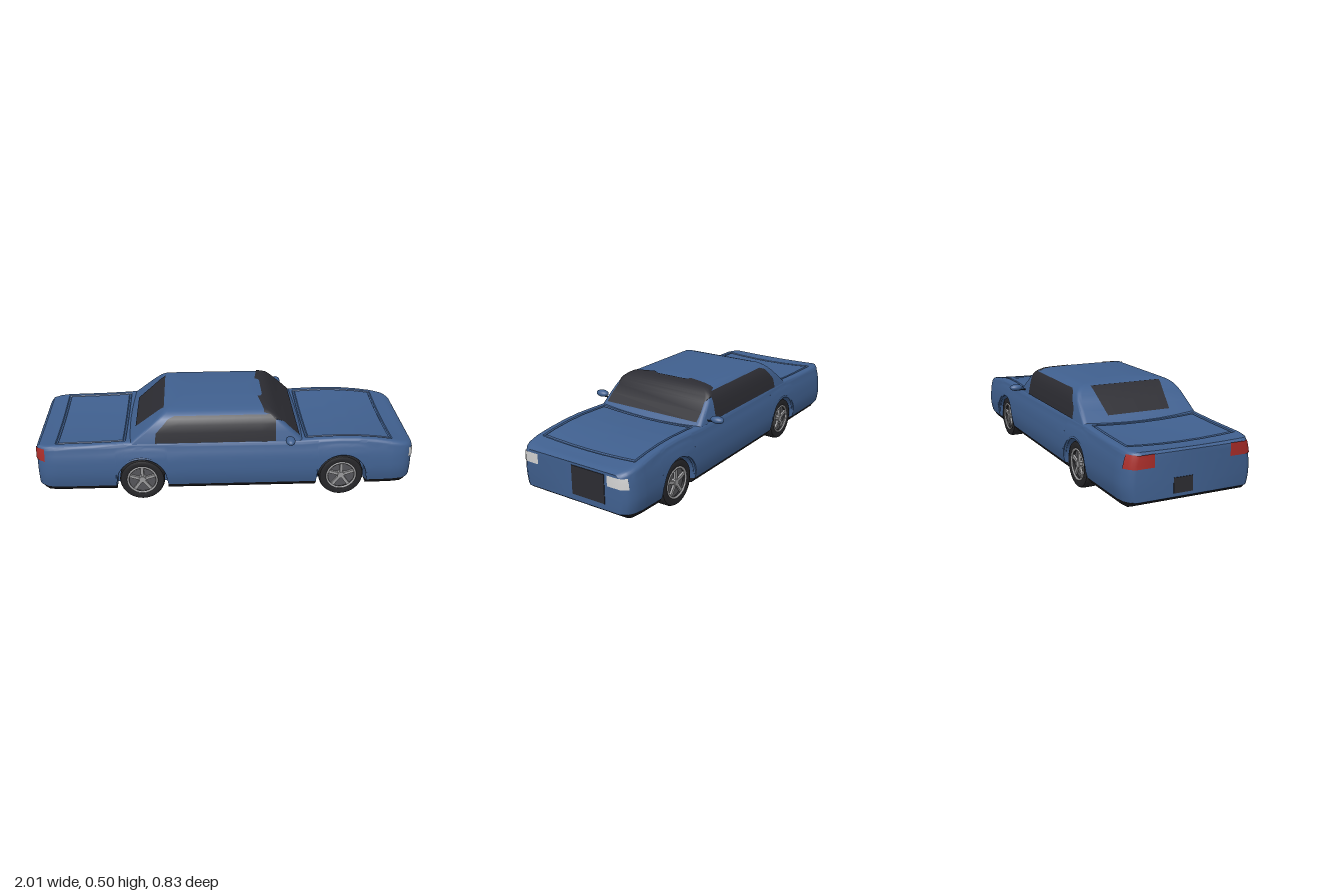
import * as THREE from 'three';
import { toCreasedNormals } from 'three/addons/utils/BufferGeometryUtils.js';

const material = (name, color) => {
  const m = new THREE.MeshStandardMaterial({ color });
  m.name = name;
  return m;
};

// Piecewise-linear lookup in a short list of [input, output] pairs
function lerpTable(t, x) {
  if (x <= t[0][0]) return t[0][1];
  for (let i = 1; i < t.length; i++) {
    const [a, va] = t[i - 1], [b, vb] = t[i];
    if (x <= b) return va + (vb - va) * (x - a) / (b - a);
  }
  return t[t.length - 1][1];
}

// Surface from nu x nv points; the outside is on the side of du x dv
function grid(nu, nv, point, flip = false) {
  const pts = [], out = [];
  for (let u = 0; u < nu; u++) for (let v = 0; v < nv; v++) pts.push(new THREE.Vector3(...point(u, v)));
  const tri = (a, b, c) => {
    const [p, q, r] = [pts[a], pts[b], pts[c]];
    if (q.clone().sub(p).cross(r.clone().sub(p)).length() < 1e-9) return;
    for (const k of flip ? [p, r, q] : [p, q, r]) out.push(k.x, k.y, k.z);
  };
  for (let u = 0; u < nu - 1; u++) for (let v = 0; v < nv - 1; v++) {
    const a = u * nv + v, b = a + nv;
    tri(a, b, b + 1);
    tri(a, b + 1, a + 1);
  }
  const g = new THREE.BufferGeometry();
  g.setAttribute('position', new THREE.Float32BufferAttribute(out, 3));
  return toCreasedNormals(g, 0.6);
}

// Body shape rules
const AXLES = [-0.45, 0.62], ARCH = 0.137, AXLE_Y = 0.12, WELL = 0.25, SILL = 0.095;
const WIDTH = [[-1, 0.292], [-0.985, 0.318], [-0.95, 0.341], [-0.9, 0.35], [0, 0.354], [0.6, 0.356],
  [0.9, 0.35], [0.95, 0.34], [0.975, 0.326], [0.985, 0.316], [1, 0.292]];
const TOP = [[-1, 0.312], [-0.985, 0.325], [-0.9, 0.33], [-0.65, 0.334], [-0.5, 0.342], [0.4, 0.337], [0.5, 0.341],
  [0.6, 0.344], [0.7, 0.341], [0.8, 0.332], [0.9, 0.317], [0.97, 0.302], [1, 0.288]];
const BULGE = [[0.065, 0.9], [0.095, 0.965], [0.13, 0.99], [0.17, 1], [0.22, 0.99], [0.26, 0.975], [0.3, 0.945], [0.33, 0.91]];
const sideZ = (x, y) => lerpTable(WIDTH, x) * lerpTable(BULGE, y);
const PANELS = [[-0.9, -0.53], [0.42, 0.89]];

// Height of the dished deck with the shut lines round the hood and boot lid
function deckY(x, z) {
  let y = lerpTable(TOP, x) - 0.013 * Math.max(0, 1 - (z / 0.3) ** 2) * Math.min(1, (1 - Math.abs(x)) / 0.1 + 0.3);
  for (const [a, b] of PANELS) {
    const d = Math.min(x - a, b - x, 0.292 - Math.abs(z));
    if (d > 0.003 && d < 0.013) y -= 0.006;
  }
  return y;
}

// Lengthwise stations; arch edges are doubled so the openings have square walls
function stations() {
  const list = [];
  for (const x of [-1, -0.993, -0.985, -0.97, -0.95, -0.925, -0.8, -0.7, -0.2, -0.1, 0, 0.1, 0.2, 0.3, 0.4, 0.8, 0.85,
    0.925, 0.95, 0.965, 0.975, 0.985, 0.993, 1]) list.push({ x });
  for (const [a, b] of PANELS) for (const d of [0, 0.004, 0.012, 0.016]) list.push({ x: a + d }, { x: b - d });
  for (const c of AXLES) {
    list.push({ x: c - ARCH - 1e-6 }, { x: c + ARCH + 1e-6 });
    for (let i = 0; i <= 20; i++) list.push({ x: c - ARCH * Math.cos(i / 20 * Math.PI) });
  }
  for (const s of list) {
    const c = AXLES.find(a => Math.abs(s.x - a) <= ARCH + 1e-8);
    if (c !== undefined) s.arch = AXLE_Y + Math.sqrt(Math.max(0, ARCH ** 2 - (s.x - c) ** 2));
  }
  return list.sort((a, b) => a.x - b.x);
}

const floorY = x => 0.065 + 0.03 * Math.max(0, (Math.abs(x) - 0.96) / 0.04);

// Half section of the painted shell as [y, z], from the wheel well up to the centre line
function shellHalf({ x, arch }) {
  const y0 = arch ?? SILL, z0 = sideZ(x, y0), top = lerpTable(TOP, x), w = lerpTable(WIDTH, x);
  const rows = arch ? [[0.065, WELL], [y0, WELL]] : [[y0, z0], [y0, z0]];
  const y1 = top - 0.024;
  for (let i = 0; i <= 8; i++) {
    const y = y0 + (y1 - y0) * i / 8;
    rows.push([y, sideZ(x, y)]);
  }
  const z1 = sideZ(x, y1), z2 = 0.87 * w;
  for (const a of [0.3, 0.6, 0.9, 1.2]) rows.push([y1 + 0.024 * Math.sin(a), z2 + (z1 - z2) * Math.cos(a)]);
  for (const f of [0.298, 0.29, 0.286, 0.281, 0.277, 0.2, 0.1, 0]) {
    const z = f * Math.min(1, w / 0.345);
    rows.push([deckY(x, z), z]);
  }
  return rows;
}

// Half section of the underside
function floorHalf({ x, arch }) {
  const y = floorY(x), inner = [y, WELL];
  return [[y, 0], inner, arch ? inner : [y, sideZ(x, 0.065)], arch ? inner : [SILL, sideZ(x, SILL)]];
}

// Cabin rules by height: front edge, rear edge and half width
const FRONT = [[0.3, 0.44], [0.34, 0.398], [0.47, 0.258], [0.488, 0.232], [0.498, 0.2], [0.5, 0.12]];
const REAR = [[0.3, -0.55], [0.345, -0.5], [0.47, -0.348], [0.487, -0.322], [0.496, -0.28], [0.5, -0.2]];
const HALF = [[0.3, 0.325], [0.34, 0.321], [0.39, 0.311], [0.43, 0.302], [0.46, 0.286], [0.475, 0.27], [0.487, 0.247],
  [0.494, 0.205], [0.5, 0.06]];
const LEVELS = [0.3, 0.345, 0.39, 0.43, 0.45, 0.46, 0.47, 0.478, 0.487, 0.493, 0.498, 0.5];
const CORNER = 0.022;

function cabinRing(y) {
  const f = lerpTable(FRONT, y), r = lerpTable(REAR, y), w = lerpTable(HALF, y), c = CORNER, ring = [];
  const corners = [[f - c, w - c], [r + c, w - c], [r + c, c - w], [f - c, c - w]];
  corners.forEach(([x, z], k) => {
    for (let i = 0; i <= 4; i++) {
      const a = (k + i / 4) * Math.PI / 2;
      ring.push([x + c * Math.cos(a), y, z + c * Math.sin(a)]);
    }
  });
  ring.push(ring[0]);
  return ring;
}

// One row of the windscreen: flat between the pillars, wrapping round the corners near the roof
function windscreenRow(y) {
  const f = lerpTable(FRONT, y), w = lerpTable(HALF, y), half = [];
  for (let i = 0; i <= 4; i++) {
    const a = i / 4 * Math.PI / 2;
    if (y < 0.445) half.push([f + 0.003, y + 0.002, Math.min(0.29, w - CORNER)]);
    else half.push([f - CORNER + (CORNER + 0.003) * Math.cos(a), y + 0.002, w - CORNER + (CORNER + 0.003) * Math.sin(a)]);
  }
  const [x, yy, z] = half[4];
  half.push([y > 0.475 ? Math.min(0.2, x) : x, yy, z]);
  return [...half.map(([a, b, c]) => [a, b, -c]).reverse(), ...half];
}

export function createModel() {
  const car = new THREE.Group();
  car.name = 'car';
  const paint = material('blue paint', 0x40608f), glass = material('dark glass', 0x2c2c32);
  const black = material('black underside', 0x1b1b1f), rubber = material('tyre rubber', 0x262629);
  const alloy = material('alloy', 0x9a9a9c), dark = material('dark metal', 0x56565a);
  const white = material('headlight white', 0xd2d2d2), red = material('tail light red', 0xa82c28);
  const add = (name, geometry, mat, parent = car) => {
    const m = new THREE.Mesh(geometry, mat);
    m.name = name;
    parent.add(m);
    return m;
  };
  const loft = (name, rows, mat) => add(name, grid(rows.length, rows[0].length, (u, v) => rows[u][v]), mat);

  // Painted shell with closed ends
  const st = stations();
  const loops = st.map(s => {
    const h = shellHalf(s).map(([y, z]) => [s.x, y, z]);
    return [...h, ...h.slice(0, -1).reverse().map(([x, y, z]) => [x, y, -z])];
  });
  const closed = l => l.map(([x, y]) => [x, y, 0]);
  loft('bodyShell', [closed(loops[0]), ...loops, closed(loops[loops.length - 1])], paint);

  // Underside
  loft('underside', st.map(s => {
    const h = floorHalf(s).map(([y, z]) => [s.x, y, z]);
    return [...h.slice(1).reverse().map(([x, y, z]) => [x, y, -z]), ...h];
  }), black);

  // Cabin and roof
  const rings = LEVELS.map(cabinRing);
  loft('cabin', [...rings, rings[rings.length - 1].map(([x, y]) => [x, y, 0])], paint);

  // Windscreen and rear window
  loft('windscreen', [0.35, 0.39, 0.43, 0.45, 0.46, 0.47, 0.478, 0.487, 0.493, 0.498].map(windscreenRow), glass);
  const rearYs = [0.362, 0.42, 0.47, 0.486];
  add('rearWindow', grid(4, 9, (u, v) => {
    const y = rearYs[u];
    return [lerpTable(REAR, y) - 0.003, y + 0.002, (v / 4 - 1) * (0.175 + (y - 0.36) * 0.2)];
  }, true), glass);

  for (const s of [1, -1]) {
    // Side windows
    const ys = [0.337, 0.36, 0.39, 0.43, 0.445, 0.46, 0.472];
    const back = [[0.337, -0.375], [0.39, -0.37], [0.46, -0.305], [0.472, -0.27]];
    add('sideWindow', grid(9, ys.length, (u, v) => {
      const y = ys[v], a = lerpTable(back, y), b = Math.min(0.26, lerpTable(FRONT, y) - 0.012);
      return [a + (b - a) * u / 8, y, s * (lerpTable(HALF, y) + 0.003)];
    }, s < 0), glass);

    // Lamps wrapping round the corners
    const lamp = (name, mat, end, xs, inner, y0, y1) => add(name, grid(xs.length + 1, 5, (u, v) => {
      const y = y0 + (y1 - y0) * v / 4;
      if (u === 0) return [end * 1.003, y, s * inner];
      const x = xs[u - 1];
      return [end * (x + 0.003), y, s * (sideZ(end * x, y) + 0.003)];
    }, s * end > 0), mat);
    lamp('headlight', white, 1, [1, 0.993, 0.985, 0.975], 0.215, 0.222, 0.275);
    lamp('tailLight', red, -1, [1, 0.993, 0.985, 0.97, 0.95], 0.2, 0.25, 0.314);

    // Door mirrors
    const mirror = add('doorMirror', new THREE.SphereGeometry(1, 24, 16), paint);
    mirror.scale.set(0.025, 0.019, 0.038);
    mirror.position.set(0.33, 0.365, s * 0.376);
    const stem = add('mirrorStem', new THREE.CylinderGeometry(0.004, 0.004, 0.06, 8), black);
    stem.rotation.x = Math.PI / 2;
    stem.position.set(0.33, 0.35, s * 0.338);

    for (const x of AXLES) {
      // Arch lip
      const lip = add('archLip', new THREE.TorusGeometry(ARCH, 0.006, 8, 28, Math.PI), paint);
      lip.position.set(x, AXLE_Y, s * 0.341);

      // Wheel
      const wheel = new THREE.Group();
      wheel.name = 'wheel';
      wheel.position.set(x, AXLE_Y, s * 0.29);
      wheel.rotation.y = s > 0 ? 0 : Math.PI;
      car.add(wheel);
      const profile = [[0.08, -0.04], [0.1, -0.045], [0.115, -0.04], [0.12, -0.028], [0.12, 0.028], [0.115, 0.04],
        [0.1, 0.045], [0.08, 0.04], [0.08, -0.04]].map(p => new THREE.Vector2(...p));
      const tyre = add('tyre', toCreasedNormals(new THREE.LatheGeometry(profile, 40), 0.6), rubber, wheel);
      tyre.rotation.x = Math.PI / 2;
      const disc = add('brakeDisc', new THREE.CylinderGeometry(0.08, 0.08, 0.04, 32), dark, wheel);
      disc.rotation.x = Math.PI / 2;
      const rim = add('rim', new THREE.TorusGeometry(0.077, 0.006, 8, 40), alloy, wheel);
      rim.position.z = 0.039;
      const hub = add('hub', new THREE.CylinderGeometry(0.018, 0.022, 0.02, 20), alloy, wheel);
      hub.rotation.x = Math.PI / 2;
      hub.position.z = 0.03;
      for (let i = 0; i < 5; i++) {
        const spoke = add('spoke', new THREE.BoxGeometry(0.016, 0.064, 0.012).translate(0, 0.044, 0.031), alloy, wheel);
        spoke.rotation.z = i * Math.PI * 2 / 5;
      }
    }
  }

  // Grille and rear plate
  add('grille', new THREE.BoxGeometry(0.006, 0.148, 0.197), glass).position.set(1, 0.2, -0.0985);
  add('rearPlate', new THREE.BoxGeometry(0.006, 0.075, 0.1), glass).position.set(-1, 0.15, -0.05);
  return car;
}
